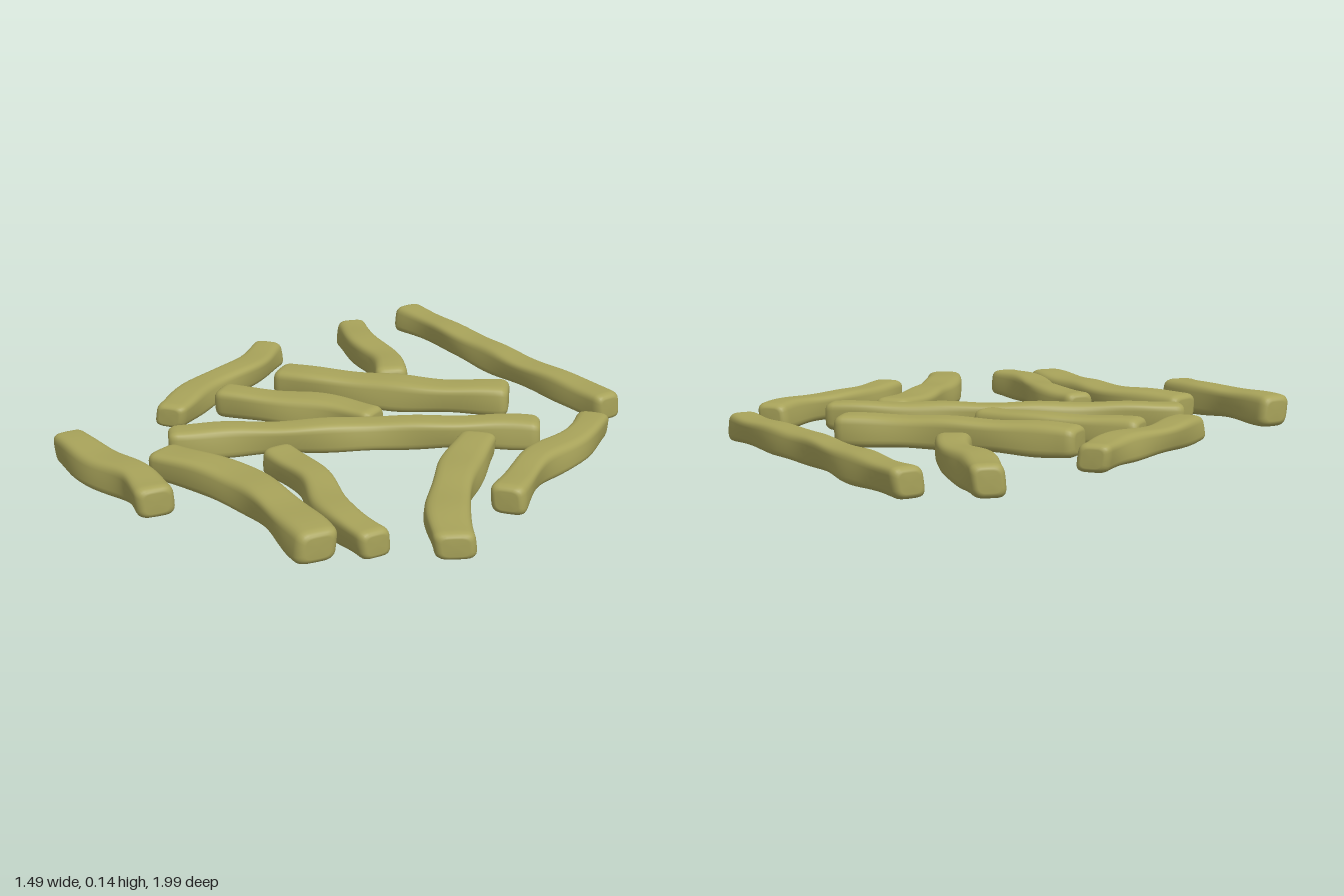
import * as THREE from 'three';

// Each strip: centre-line points [x, z], width, bottom y, top y
const STRIPS = [
  { path: [[-0.53, -0.955], [-0.3, -0.865], [0, -0.72], [0.3, -0.605], [0.555, -0.5]], w: 0.1, y0: 0.03, y1: 0.125 },
  { path: [[-0.63, -0.735], [-0.48, -0.6], [-0.33, -0.5], [-0.2, -0.35]], w: 0.11, y0: 0.005, y1: 0.115 },
  { path: [[-0.515, -0.125], [-0.3, -0.175], [-0.05, -0.25], [0.235, -0.39]], w: 0.125, y0: 0.03, y1: 0.135 },
  { path: [[-0.57, 0.135], [-0.36, 0.085], [-0.17, 0.03], [-0.015, 0.03]], w: 0.11, y0: 0.03, y1: 0.13 },
  { path: [[-0.71, -0.35], [-0.66, -0.15], [-0.66, 0.1], [-0.61, 0.36]], w: 0.11, y0: 0.035, y1: 0.125 },
  { path: [[-0.475, 0.53], [-0.2, 0.3], [0.05, 0.1], [0.3, -0.08], [0.47, -0.175]], w: 0.1, y0: 0.03, y1: 0.13 },
  { path: [[0.575, -0.34], [0.615, -0.15], [0.595, 0.1], [0.655, 0.37]], w: 0.105, y0: 0.035, y1: 0.13 },
  { path: [[0.345, 0.005], [0.425, 0.25], [0.53, 0.5], [0.69, 0.72]], w: 0.13, y0: 0.03, y1: 0.125 },
  { path: [[-0.11, 0.465], [0.1, 0.56], [0.27, 0.72], [0.505, 0.835]], w: 0.105, y0: 0.035, y1: 0.135 },
  { path: [[-0.4, 0.665], [-0.12, 0.685], [0.1, 0.765], [0.375, 0.935]], w: 0.13, y0: 0.03, y1: 0.135 },
  { path: [[-0.71, 0.735], [-0.5, 0.83], [-0.32, 0.865], [-0.185, 0.95]], w: 0.115, y0: 0.037, y1: 0.147 },
];

const RINGS = 40, SIDES = 28;
const spow = (v, p) => Math.sign(v) * Math.pow(Math.abs(v), p);

// Sweep a rounded rectangle along the path, with softly rounded blunt ends
function stripGeometry({ path, w, y0, y1 }, seed) {
  const mid = (y0 + y1) / 2, half = (y1 - y0) / 2;
  const curve = new THREE.CatmullRomCurve3(path.map(([x, z]) => new THREE.Vector3(x, mid, z)));
  const length = curve.getLength(), cap = 0.03;

  // Ring positions: tight at the caps, even along the body
  const stations = [];
  for (let k = 0; k <= 5; k++) {
    const a = (k / 5) * Math.PI / 2;
    stations.push([cap * (1 - Math.cos(a)), 0.62 + 0.38 * Math.sin(a)]);
  }
  for (let k = 1; k < RINGS; k++) stations.push([cap + (length - 2 * cap) * k / RINGS, 1]);
  for (let k = 5; k >= 0; k--) stations.push([length - stations[k][0], stations[k][1]]);

  const pos = [], idx = [];
  for (const [s, scale] of stations) {
    const u = Math.min(1, Math.max(0, s / length));
    const c = curve.getPointAt(u), t = curve.getTangentAt(u);
    const wide = scale * (w / 2) * (1 + 0.05 * Math.sin(s * 17 + seed * 2.1));
    const tall = scale * half * (0.95 + 0.05 * Math.sin(s * 21 + seed * 1.7));
    const lean = 0.007 * Math.sin(s * 13 + seed);
    for (let j = 0; j < SIDES; j++) {
      const a = (j / SIDES) * Math.PI * 2;
      const px = wide * spow(Math.cos(a), 0.5), py = tall * spow(Math.sin(a), 0.5);
      const side = px + lean * py / half;
      pos.push(c.x + t.z * side, c.y + py, c.z - t.x * side);
    }
  }
  const n = stations.length;
  for (let i = 0; i < n - 1; i++) {
    for (let j = 0; j < SIDES; j++) {
      const a = i * SIDES + j, b = i * SIDES + (j + 1) % SIDES;
      idx.push(a, b, b + SIDES, a, b + SIDES, a + SIDES);
    }
  }
  // End caps
  const start = curve.getPointAt(0), end = curve.getPointAt(1);
  const first = n * SIDES, last = (n - 1) * SIDES;
  pos.push(...start.toArray(), ...end.toArray());
  for (let j = 0; j < SIDES; j++) {
    const k = (j + 1) % SIDES;
    idx.push(first, k, j, first + 1, last + j, last + k);
  }
  const geo = new THREE.BufferGeometry();
  geo.setAttribute('position', new THREE.Float32BufferAttribute(pos, 3));
  geo.setIndex(idx);
  geo.computeVertexNormals();
  return geo;
}

export function createModel() {
  const group = new THREE.Group();
  group.name = 'scatteredStrips';
  const material = new THREE.MeshStandardMaterial({ color: 0xa8a35a });
  STRIPS.forEach((strip, i) => {
    const mesh = new THREE.Mesh(stripGeometry(strip, i + 1), material);
    mesh.name = `strip${i + 1}`;
    group.add(mesh);
  });
  return group;
}
